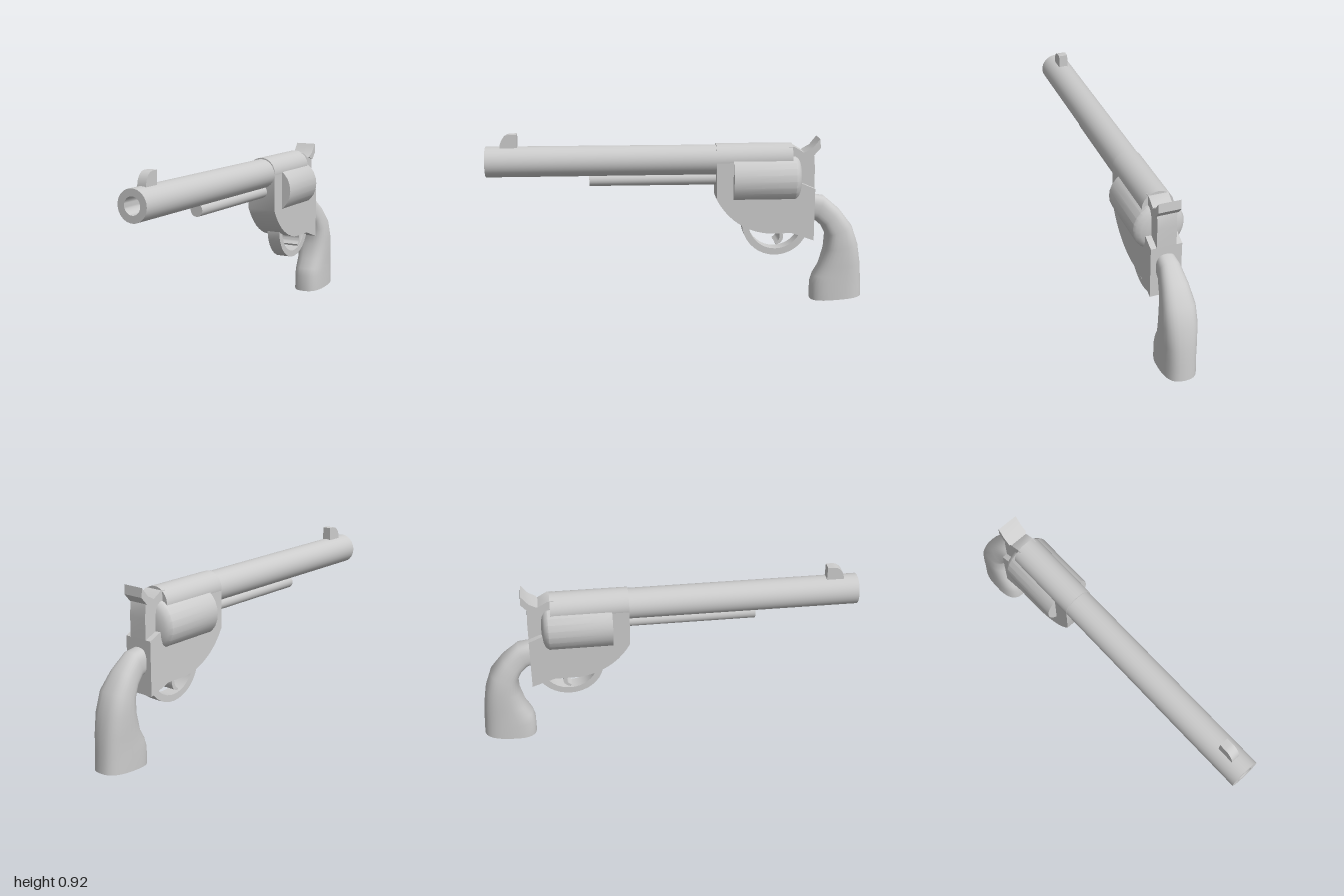
import * as THREE from 'three';
import { toCreasedNormals, mergeVertices } from 'three/addons/utils/BufferGeometryUtils.js';

const material = new THREE.MeshStandardMaterial({ color: 0xcccccc });

export function createModel() {
  const group = new THREE.Group();

  const add = (name, geometry, y = 0, crease = 0.6) => {
    const mesh = new THREE.Mesh(toCreasedNormals(geometry, crease), material);
    mesh.name = name;
    mesh.position.y = y;
    group.add(mesh);
    return mesh;
  };

  // Side profile in (z, y), extruded evenly to both sides of x = 0
  const plate = (name, shape, halfWidth) => {
    const g = new THREE.ExtrudeGeometry(shape, { depth: halfWidth * 2, bevelEnabled: false, curveSegments: 10 });
    g.translate(0, 0, -halfWidth);
    g.rotateY(-Math.PI / 2);
    return add(name, g);
  };
  const polygon = (pts) => new THREE.Shape(pts.map(([z, y]) => new THREE.Vector2(z, y)));

  // Profile of (radius, z), rear to front, turned around a lengthwise axis
  const turned = (name, pts, y, sides = 32) => {
    const g = new THREE.LatheGeometry(pts.map(([r, z]) => new THREE.Vector2(r, z)), sides);
    g.rotateX(Math.PI / 2);
    return add(name, g, y);
  };

  // Barrel with bore, ejector rod and rounded top strap
  turned('barrel', [[0, -0.22], [0.079, -0.22], [0.08, 1], [0.044, 1], [0.044, 0.8], [0, 0.8]], 0.774);
  turned('ejectorRod', [[0, -0.22], [0.034, -0.22], [0.034, 0.465], [0, 0.465]], 0.674, 20);
  turned('topStrap', [[0, -0.6], [0.081, -0.6], [0.081, -0.2], [0, -0.2]], 0.779);

  // Cylinder with domed recoil shield at its rear
  turned('cylinder', [
    [0, -0.655], [0.075, -0.65], [0.1, -0.643], [0.12, -0.632], [0.131, -0.615],
    [0.131, -0.288], [0, -0.288],
  ], 0.675, 24);

  // Frame
  const frame = new THREE.Shape();
  frame.moveTo(-0.2, 0.779);
  frame.lineTo(-0.6, 0.779);
  frame.lineTo(-0.62, 0.66);
  frame.lineTo(-0.65, 0.655);
  frame.lineTo(-0.72, 0.625);
  frame.lineTo(-0.72, 0.345);
  frame.lineTo(-0.6, 0.387);
  frame.lineTo(-0.47, 0.387);
  frame.bezierCurveTo(-0.36, 0.4, -0.26, 0.46, -0.2, 0.575);
  plate('frame', frame, 0.08);

  // Hammer block and its wider spur
  plate('hammer', polygon([
    [-0.58, 0.6], [-0.58, 0.845], [-0.61, 0.845], [-0.66, 0.815], [-0.7, 0.835],
    [-0.715, 0.795], [-0.72, 0.73], [-0.72, 0.6],
  ]), 0.05);
  plate('hammerSpur', polygon([
    [-0.665, 0.818], [-0.705, 0.84], [-0.742, 0.887], [-0.747, 0.84], [-0.712, 0.8],
  ]), 0.057);

  // Front sight, rounded toward the muzzle
  const sight = new THREE.Shape();
  sight.moveTo(0.835, 0.84);
  sight.lineTo(0.925, 0.84);
  sight.bezierCurveTo(0.925, 0.89, 0.9, 0.92, 0.865, 0.92);
  sight.lineTo(0.835, 0.92);
  plate('frontSight', sight, 0.024);

  // Trigger guard hoop
  const guard = new THREE.Shape();
  guard.absarc(-0.52, 0.437, 0.18, Math.PI * 0.95, Math.PI * 2.05, false);
  guard.absarc(-0.52, 0.437, 0.145, Math.PI * 2.05, Math.PI * 0.95, true);
  plate('triggerGuard', guard, 0.037);

  // Trigger
  const trigger = new THREE.Shape();
  trigger.moveTo(-0.53, 0.4);
  trigger.quadraticCurveTo(-0.555, 0.35, -0.515, 0.33);
  trigger.lineTo(-0.52, 0.32);
  trigger.quadraticCurveTo(-0.575, 0.335, -0.55, 0.4);
  plate('trigger', trigger, 0.063);

  // Grip sections: front z, front y, back z, back y, half width
  const sections = [
    [-0.7, 0.45, -0.7, 0.585, 0.05],
    [-0.735, 0.44, -0.78, 0.572, 0.056],
    [-0.77, 0.41, -0.865, 0.5, 0.07],
    [-0.795, 0.36, -0.935, 0.41, 0.084],
    [-0.79, 0.28, -0.97, 0.31, 0.088],
    [-0.765, 0.19, -0.988, 0.2, 0.085],
    [-0.733, 0.135, -0.993, 0.13, 0.085],
    [-0.72, 0.09, -0.997, 0.08, 0.086],
    [-0.72, 0, -1, 0.02, 0.086],
  ];
  const n = 28;
  const rounded = (v) => Math.sign(v) * Math.abs(v) ** 0.75;
  const positions = [], index = [];
  sections.forEach(([zf, yf, zb, yb, w], i) => {
    for (let j = 0; j < n; j++) {
      const t = (j / n) * Math.PI * 2;
      const c = rounded(Math.cos(t)) / 2, s = rounded(Math.sin(t));
      positions.push(w * s, (yf + yb) / 2 + c * (yf - yb), (zf + zb) / 2 + c * (zf - zb));
      if (i === sections.length - 1) continue;
      const a = i * n + j, b = i * n + (j + 1) % n;
      index.push(a, a + n, b, b, a + n, b + n);
    }
  });
  // Butt of the grip
  const last = (sections.length - 1) * n;
  positions.push(0, 0.01, -0.86);
  for (let j = 0; j < n; j++) index.push(last + n, last + (j + 1) % n, last + j);
  const grip = new THREE.BufferGeometry();
  grip.setAttribute('position', new THREE.Float32BufferAttribute(positions, 3));
  grip.setIndex(index);
  add('grip', mergeVertices(grip), 0, 0.9);

  return group;
}
